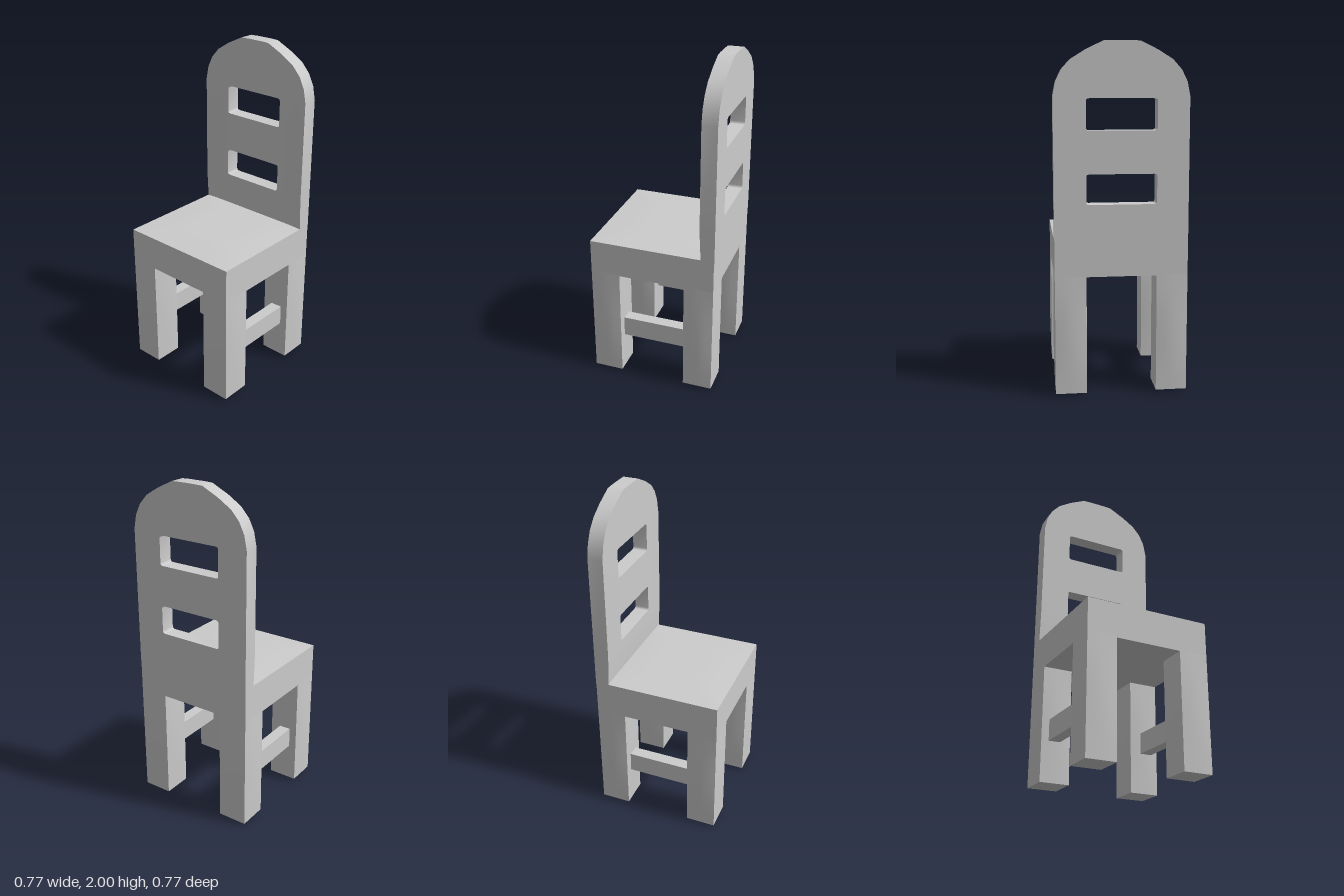
import * as THREE from 'three';
import { toCreasedNormals } from 'three/addons/utils/BufferGeometryUtils.js';

const HALF = 0.378; // half width and half depth of the chair

// Move every vertex of a geometry by a rule, then smooth within each face
function reshape(geometry, rule) {
  const pos = geometry.attributes.position;
  const v = new THREE.Vector3();
  for (let i = 0; i < pos.count; i++) {
    v.fromBufferAttribute(pos, i);
    rule(v);
    pos.setXYZ(i, v.x, v.y, v.z);
  }
  geometry.computeVertexNormals();
  return geometry;
}

const bump = (t) => Math.cos(THREE.MathUtils.clamp(t, -1, 1) * Math.PI / 2);

// Square leg whose four sides and foot swell slightly
function legGeometry() {
  const w = 0.178, h = 0.688;
  return reshape(new THREE.BoxGeometry(w, h, w, 4, 8, 4), (v) => {
    const a = v.x / (w / 2), b = v.y / (h / 2), c = v.z / (w / 2);
    v.x += a * 0.008 * bump(b) * bump(c);
    v.z += c * 0.008 * bump(b) * bump(a);
    if (b < -0.99) v.y -= 0.012 * bump(a) * bump(c);
  });
}

// Seat slab with a crowned top and a sagging underside
function seatGeometry() {
  const h = 0.205;
  return reshape(new THREE.BoxGeometry(HALF * 2, h, HALF * 2, 12, 2, 12), (v) => {
    const a = v.x / HALF, c = v.z / HALF;
    if (v.y > 0.1) {
      const edge = Math.max(Math.abs(a), Math.abs(c));
      v.y += 0.008 * Math.min(1, (1 - edge) / 0.43);
    } else if (v.y < -0.1) {
      v.y -= 0.016 * bump(a * 1.8) * bump(c * 1.8);
    }
  });
}

// Rectangular opening with small rounded corners
function slot(y0, y1) {
  const x = 0.198, r = 0.016;
  const p = new THREE.Path();
  p.moveTo(-x + r, y0);
  p.lineTo(x - r, y0);
  p.quadraticCurveTo(x, y0, x, y0 + r);
  p.lineTo(x, y1 - r);
  p.quadraticCurveTo(x, y1, x - r, y1);
  p.lineTo(-x + r, y1);
  p.quadraticCurveTo(-x, y1, -x, y1 - r);
  p.lineTo(-x, y0 + r);
  p.quadraticCurveTo(-x, y0, -x + r, y0);
  return p;
}

// Arched back panel with two slots, slightly thinner where it meets the seat
function backGeometry() {
  const side = [
    [HALF, 0.89], [HALF, 1.08], [HALF, 1.7], [0.362, 1.78], [0.33, 1.845],
    [0.28, 1.9], [0.2, 1.95], [0.1, 1.998], [0.05, 2],
  ];
  const outline = [...side, ...side.map(([x, y]) => [-x, y]).reverse()];
  const shape = new THREE.Shape(outline.map(([x, y]) => new THREE.Vector2(x, y)));
  shape.holes.push(slot(1.105, 1.275), slot(1.515, 1.69));
  const geometry = new THREE.ExtrudeGeometry(shape, {
    depth: 0.09, bevelEnabled: false, curveSegments: 3,
  });
  reshape(geometry, (v) => {
    if (v.y < 0.95 && v.z > 0.05) v.z -= 0.01;
  });
  return toCreasedNormals(geometry, 0.6);
}

export function createModel() {
  const chair = new THREE.Group();
  chair.name = 'chair';
  const grey = new THREE.MeshStandardMaterial({ color: 0xcccccc });
  grey.name = 'light grey';

  function add(name, geometry, x, y, z) {
    const mesh = new THREE.Mesh(geometry, grey);
    mesh.name = name;
    mesh.position.set(x, y, z);
    chair.add(mesh);
  }

  add('seat', seatGeometry(), 0, 0.7975, 0);
  add('backPanel', backGeometry(), 0, 0, -0.38);

  // Legs and the low side rails joining them
  const leg = legGeometry();
  const rail = new THREE.BoxGeometry(0.07, 0.125, 0.42);
  for (const [side, s] of [['left', 1], ['right', -1]]) {
    add(side + 'FrontLeg', leg, s * 0.289, 0.356, 0.289);
    add(side + 'BackLeg', leg, s * 0.289, 0.356, -0.289);
    add(side + 'Rail', rail, s * 0.3, 0.3125, 0);
  }
  return chair;
}
